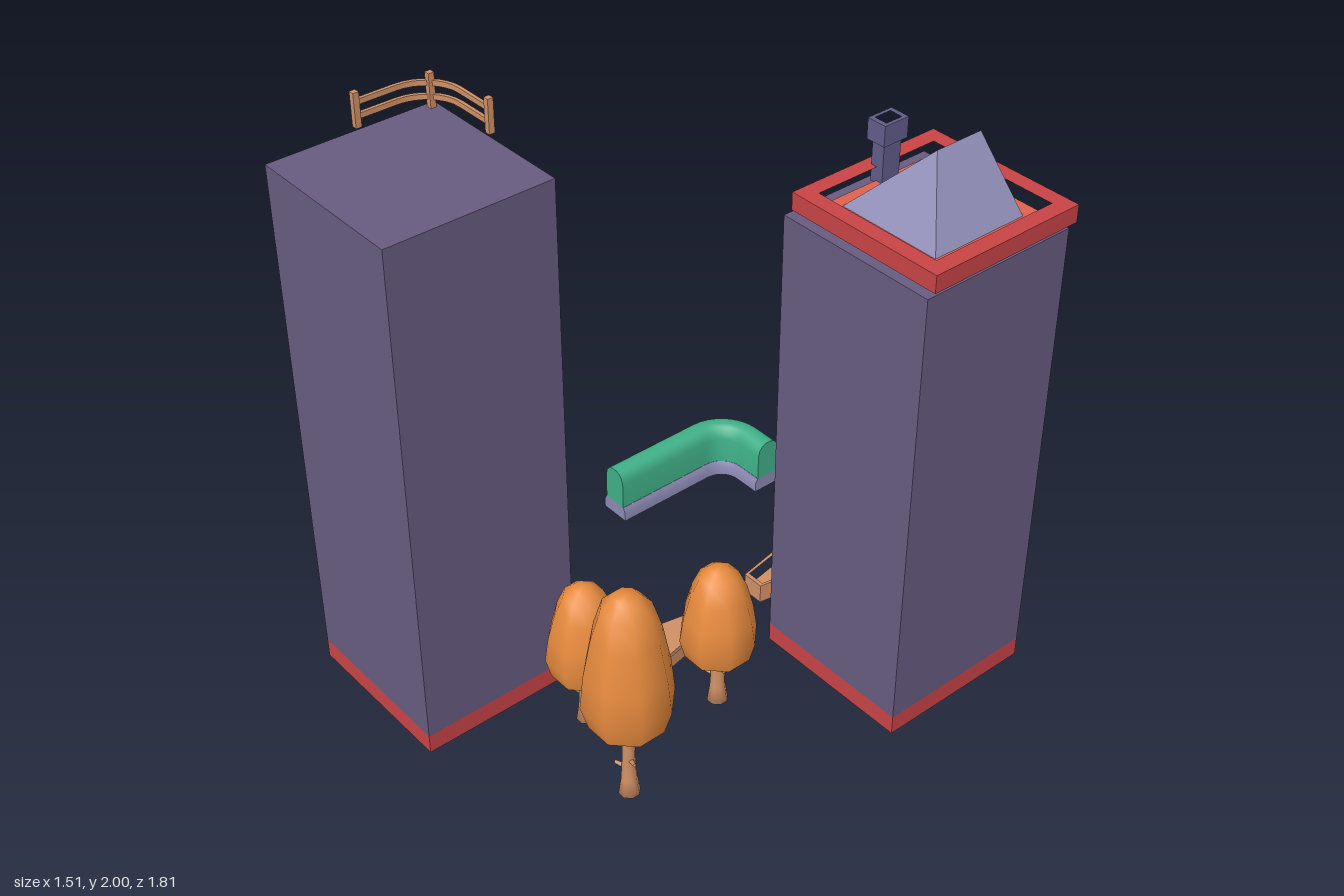
import * as THREE from 'three';
import { toCreasedNormals } from 'three/addons/utils/BufferGeometryUtils.js';

const mat = (color, extra = {}) => new THREE.MeshStandardMaterial({ color, ...extra });
const M = {
  wall: mat(0x675c80), red: mat(0xc84446), coral: mat(0xdf6250), slate: mat(0x8d8ab4, { side: THREE.DoubleSide }),
  chimney: mat(0x615d8a), frame: mat(0x8583a8), pane: mat(0x9a9aa2), green: mat(0x40b088),
  awning: mat(0x9db34c), leaf: mat(0xe88b3e), wood: mat(0xd09066),
};

function add(parent, name, geo, material, x = 0, y = 0, z = 0) {
  const m = new THREE.Mesh(geo, material);
  m.name = name;
  m.position.set(x, y, z);
  parent.add(m);
  return m;
}

function group(parent, name, x = 0, y = 0, z = 0) {
  const g = new THREE.Group();
  g.name = name;
  g.position.set(x, y, z);
  parent.add(g);
  return g;
}

// box given by its limits on each axis
const block = (p, name, m, x0, x1, y0, y1, z0, z1) =>
  add(p, name, new THREE.BoxGeometry(x1 - x0, y1 - y0, z1 - z0), m, (x0 + x1) / 2, (y0 + y1) / 2, (z0 + z1) / 2);

const poly = (pts) => new THREE.Shape(pts.map(([x, y]) => new THREE.Vector2(x, y)));
const extrude = (shape, depth) => new THREE.ExtrudeGeometry(shape, { depth, bevelEnabled: false, curveSegments: 8 });

// upright prism from a plan of [x, z] points, with an optional hole
function plan(pts, height, hole) {
  const flip = (a) => a.map(([x, z]) => [x, -z]);
  const s = poly(flip(pts));
  if (hole) s.holes.push(poly(flip(hole)));
  return extrude(s, height).rotateX(-Math.PI / 2);
}
const scaled = (pts, kx, kz = kx) => pts.map(([x, z]) => [x * kx, z * kz]);

// sweep a closed profile of [offset, y] along a flat path of [x, z]
function sweep(path, profile) {
  const P = path.map(([x, z]) => new THREE.Vector2(x, z));
  const n = profile.length, pos = [], idx = [];
  P.forEach((p, i) => {
    const t = P[Math.min(i + 1, P.length - 1)].clone().sub(P[Math.max(i - 1, 0)]).normalize();
    for (const [o, y] of profile) pos.push(p.x - t.y * o, y, p.y + t.x * o);
  });
  for (let i = 0; i < P.length - 1; i++) for (let j = 0; j < n; j++) {
    const a = i * n + j, b = i * n + (j + 1) % n;
    idx.push(a, b, a + n, b, b + n, a + n);
  }
  const last = (P.length - 1) * n;
  for (const [a, b, c] of THREE.ShapeUtils.triangulateShape(profile.map(([x, y]) => new THREE.Vector2(x, y)), []))
    idx.push(a, c, b, last + a, last + b, last + c);
  const g = new THREE.BufferGeometry();
  g.setAttribute('position', new THREE.Float32BufferAttribute(pos, 3));
  g.setIndex(idx);
  return toCreasedNormals(g, 0.6);
}

// L-shaped path: straight, quarter bend, straight (side = -1 bends to -z)
function bend(x, zStart, cz, r, xEnd) {
  const pts = [[x, zStart]];
  for (let i = 0; i <= 8; i++) {
    const a = (i / 8) * Math.PI / 2;
    pts.push([x + r - r * Math.cos(a), cz - r * Math.sin(a)]);
  }
  pts.push([xEnd, cz - r]);
  return pts;
}

function openingShape(w, h, arch) {
  const s = new THREE.Shape();
  s.moveTo(-w / 2, 0);
  s.lineTo(w / 2, 0);
  if (arch) {
    s.lineTo(w / 2, h - w / 2);
    s.absarc(0, h - w / 2, w / 2, 0, Math.PI, false);
  } else {
    s.lineTo(w / 2, h);
    s.lineTo(-w / 2, h);
  }
  s.closePath();
  return s;
}

// framed window or door; origin at bottom centre, facing local +z
function opening(parent, name, [x, y, z], angle, w, h, { arch = false, cols = 1, rows = 2 } = {}) {
  const g = group(parent, name, x, y, z), f = 0.013;
  g.rotation.y = angle;
  const outer = openingShape(w, h, arch);
  const inner = openingShape(w - 2 * f, h - 2 * f, arch);
  outer.holes.push(new THREE.Path(inner.getPoints(8).map((p) => p.setY(p.y + f))));
  add(g, 'frame', extrude(outer, 0.01), M.frame);
  add(g, 'pane', extrude(inner, 0.004), M.pane, 0, f, 0);
  for (let i = 1; i < cols; i++) {
    const bx = -w / 2 + (w * i) / cols;
    block(g, 'mullion', M.frame, bx - 0.004, bx + 0.004, f, h - f, 0, 0.008);
  }
  for (let i = 1; i < rows; i++) {
    const by = (h * i) / rows;
    block(g, 'crossBar', M.frame, -w / 2 + f, w / 2 - f, by - 0.004, by + 0.004, 0, 0.008);
  }
}

// tray balcony with clipped outer corners; origin on the wall, projecting along local +z
function balcony(parent, [x, y, z], angle, w, d) {
  const g = group(parent, 'balcony', x, y, z), c = 0.022, t = 0.02;
  g.rotation.y = angle;
  const outline = (h, z0, z1) => [[-h, z0], [h, z0], [h, z1 - c], [h - c, z1], [-h + c, z1], [-h, z1 - c]];
  add(g, 'balconyWall', plan(outline(w / 2, 0, d), 0.085, outline(w / 2 - t, 0.008, d - t)), M.red);
  add(g, 'balconyFloor', plan(outline(w / 2 - t, 0.004, d - t), 0.02), M.coral, 0, 0.001, 0);
}

function tower(parent, name, x0, x1, z0, z1, top) {
  const g = group(parent, name);
  block(g, 'plinth', M.red, x0, x1, 0, 0.07, z0, z1);
  block(g, 'walls', M.wall, x0, x1, 0.07, top, z0, z1);
  return g;
}

function tree(parent, x, z, profile, trunkTop) {
  const g = group(parent, 'tree', x, 0, z);
  const lathe = (pts) => new THREE.LatheGeometry(pts.map(([r, y]) => new THREE.Vector2(r, y)), 8, Math.PI / 8);
  add(g, 'crown', toCreasedNormals(lathe(profile), 1.0), M.leaf);
  add(g, 'trunk', lathe([[0, 0], [0.036, 0], [0.027, 0.06], [0.022, 0.15], [0.018, trunkTop]]), M.wood);
  [[0.3, 0.15], [2.6, 0.11], [4.4, 0.15 + trunkTop * 0.15]].forEach(([a, y]) => {
    const s = add(g, 'branchStub', new THREE.CylinderGeometry(0.006, 0.009, 0.035, 5), M.wood,
      0.03 * Math.cos(a), y, 0.03 * Math.sin(a));
    s.rotation.set(0, -a, -1.3);
  });
}

export function createModel() {
  const root = new THREE.Group();
  root.name = 'towersAndGarden';
  const BACK = Math.PI, SIDE = -Math.PI / 2;

  // front tower with openings on its back wall
  const a = tower(root, 'flatTower', -0.73, -0.14, 0.33, 0.91, 1.885);
  opening(a, 'topWindow', [-0.58, 1.53, 0.33], BACK, 0.11, 0.16);
  opening(a, 'archedWindow', [-0.31, 1.19, 0.33], BACK, 0.18, 0.23, { arch: true, cols: 3 });
  opening(a, 'balconyDoor', [-0.56, 0.73, 0.31], BACK, 0.1, 0.24, { cols: 2 });
  opening(a, 'middleWindow', [-0.25, 0.54, 0.33], BACK, 0.11, 0.16);
  opening(a, 'smallWindow', [-0.6, 0.32, 0.33], BACK, 0.075, 0.11);
  opening(a, 'frontDoor', [-0.42, 0, 0.33], BACK, 0.105, 0.23, { rows: 1 });
  block(a, 'wallLamp', M.frame, -0.675, -0.65, 0.865, 0.9, 0.315, 0.33);
  balcony(a, [-0.575, 0.725, 0.3], BACK, 0.29, 0.145);

  // curved rooftop fence
  const fence = group(a, 'fence');
  const fencePath = bend(-0.745, 0.59, 0.45, 0.135, -0.465);
  for (const y of [1.92, 1.966])
    add(fence, 'fenceRail', sweep(fencePath, [[-0.006, y - 0.009], [0.006, y - 0.009], [0.006, y + 0.009], [-0.006, y + 0.009]].reverse()),
      new THREE.MeshStandardMaterial({ color: 0xd09066, side: THREE.DoubleSide }));
  for (const [x, z] of [[-0.745, 0.59], [-0.705, 0.355], [-0.468, 0.315]])
    block(fence, 'fencePost', M.wood, x - 0.01, x + 0.01, 1.885, 2, z - 0.01, z + 0.01);

  // rear tower
  const b = tower(root, 'roofedTower', 0.16, 0.745, -0.85, -0.27, 1.67);
  opening(b, 'topWindow', [0.64, 1.3, -0.85], BACK, 0.11, 0.16);
  opening(b, 'smallWindow', [0.28, 0.985, -0.85], BACK, 0.075, 0.11);
  opening(b, 'doubleWindow', [0.6, 0.54, -0.85], BACK, 0.18, 0.16, { cols: 2 });
  opening(b, 'frontDoor', [0.45, 0, -0.85], BACK, 0.105, 0.22, { rows: 1 });
  opening(b, 'balconyDoor', [0.16, 1.18, -0.5], SIDE, 0.165, 0.23, { cols: 2 });
  for (const y of [0.75, 0.3]) opening(b, 'archedDoor', [0.16, y, -0.52], SIDE, 0.165, 0.225, { arch: true, cols: 3 });
  for (const y of [1.17, 0.73, 0.29]) balcony(b, [0.16, y, -0.535], SIDE, 0.31, 0.11);
  for (const z of [-0.64, -0.36]) block(b, 'balconyPost', M.coral, 0.092, 0.108, 0, 1.17, z - 0.008, z + 0.008);

  // awning over the door
  const awning = extrude(poly([[0.85, 0.27], [0.85, 0.225], [0.905, 0.205], [0.905, 0.24]]), 0.295);
  add(b, 'awning', awning.rotateY(Math.PI / 2), M.awning, 0.305, 0, 0);
  for (let i = 0; i < 8; i++)
    block(b, 'awningSlat', M.awning, 0.315 + i * 0.036, 0.333 + i * 0.036, 0.2, 0.22, -0.9, -0.86);

  // parapet, roof deck and chimney
  const square = (h) => [[-h, -h], [h, -h], [h, h], [-h, h]];
  add(b, 'parapet', plan(square(0.291), 0.06, square(0.236)), M.red, 0.4625, 1.685, -0.58);
  add(b, 'roofDeck', plan(square(0.237), 0.012), M.coral, 0.4625, 1.687, -0.58);
  add(b, 'chimneyShaft', new THREE.BoxGeometry(0.048, 0.17, 0.07), M.chimney, 0.227, 1.775, -0.612);
  const rim = (k) => [[-0.036, -0.048], [0.036, -0.048], [0.036, 0.048], [-0.036, 0.048]].map(([x, z]) => [x * k, z * k]);
  add(b, 'chimneyCap', plan(rim(1), 0.07, rim(0.65)), M.chimney, 0.227, 1.83, -0.612);

  // hipped roof with a recessed gable at the back
  const L = [0.267, 1.698], R = [0.645, 1.698], T = [0.456, 1.9];
  const tris = [[...L, -0.4], [...R, -0.4], [...T, -0.58], [...R, -0.4], [...R, -0.76], [...T, -0.76],
    [...R, -0.4], [...T, -0.76], [...T, -0.58], [...L, -0.76], [...L, -0.4], [...T, -0.58],
    [...L, -0.76], [...T, -0.58], [...T, -0.76]];
  const roof = new THREE.BufferGeometry();
  roof.setAttribute('position', new THREE.Float32BufferAttribute(tris.flat(), 3));
  roof.computeVertexNormals();
  add(b, 'hippedRoof', roof, M.slate);
  const gable = poly([L, R, T]);
  gable.holes.push(poly([[0.31, 1.715], [0.602, 1.715], [0.456, 1.871]]));
  add(b, 'gableFrame', extrude(gable, 0.03), M.slate, 0, 0, -0.76);
  add(b, 'gablePanel', new THREE.ShapeGeometry(poly([L, R, T])), M.slate, 0, 0, -0.73);

  // trees
  const small = [[0, 0.215], [0.112, 0.215], [0.13, 0.285], [0.118, 0.37], [0.095, 0.46], [0.065, 0.53], [0.03, 0.558], [0, 0.563]];
  const large = [[0, 0.312], [0.125, 0.312], [0.15, 0.4], [0.138, 0.52], [0.112, 0.66], [0.08, 0.765], [0.04, 0.808], [0, 0.815]];
  tree(root, 0.26, 0.05, small, 0.25);
  tree(root, 0.055, 0.43, small, 0.25);
  tree(root, 0.395, 0.53, large, 0.35);

  // six-sided wooden boxes: one open, one lidded
  const box = [[-0.043, -0.145], [0.043, -0.145], [0.078, -0.065], [0.04, 0.145], [-0.04, 0.145], [-0.078, -0.065]];
  const open = group(root, 'openBox', -0.027, 0.012, -0.505);
  add(open, 'boxWalls', plan(box, 0.073, scaled(box, 0.82, 0.9)), M.wood);
  add(open, 'boxFloor', plan(scaled(box, 0.85, 0.92), 0.02), M.wood);
  const closed = group(root, 'closedBox', 0, 0.012, 0.083);
  closed.rotation.y = Math.PI;
  add(closed, 'boxBody', plan(scaled(box, 1, 0.97), 0.055), M.wood);
  add(closed, 'boxLid', plan(scaled(box, 1.08, 1.02), 0.016), M.wood, 0, 0.057, 0);

  // curved hedge in a low planter
  const path = bend(-0.695, -0.29, -0.685, 0.135, -0.46);
  const hedge = group(root, 'hedge');
  const sides = (pts) => [...pts, ...pts.map(([x, y]) => [-x, y]).reverse()].reverse();
  const two = (m) => { const c = m.clone(); c.side = THREE.DoubleSide; return c; };
  add(hedge, 'planter', sweep(path, sides([[-0.058, 0], [-0.058, 0.035], [-0.048, 0.055]])), two(M.slate));
  add(hedge, 'hedgeTop', sweep(path, sides([[-0.047, 0.05], [-0.047, 0.155], [-0.041, 0.18], [-0.027, 0.196], [-0.01, 0.202]])), two(M.green));
  return root;
}
